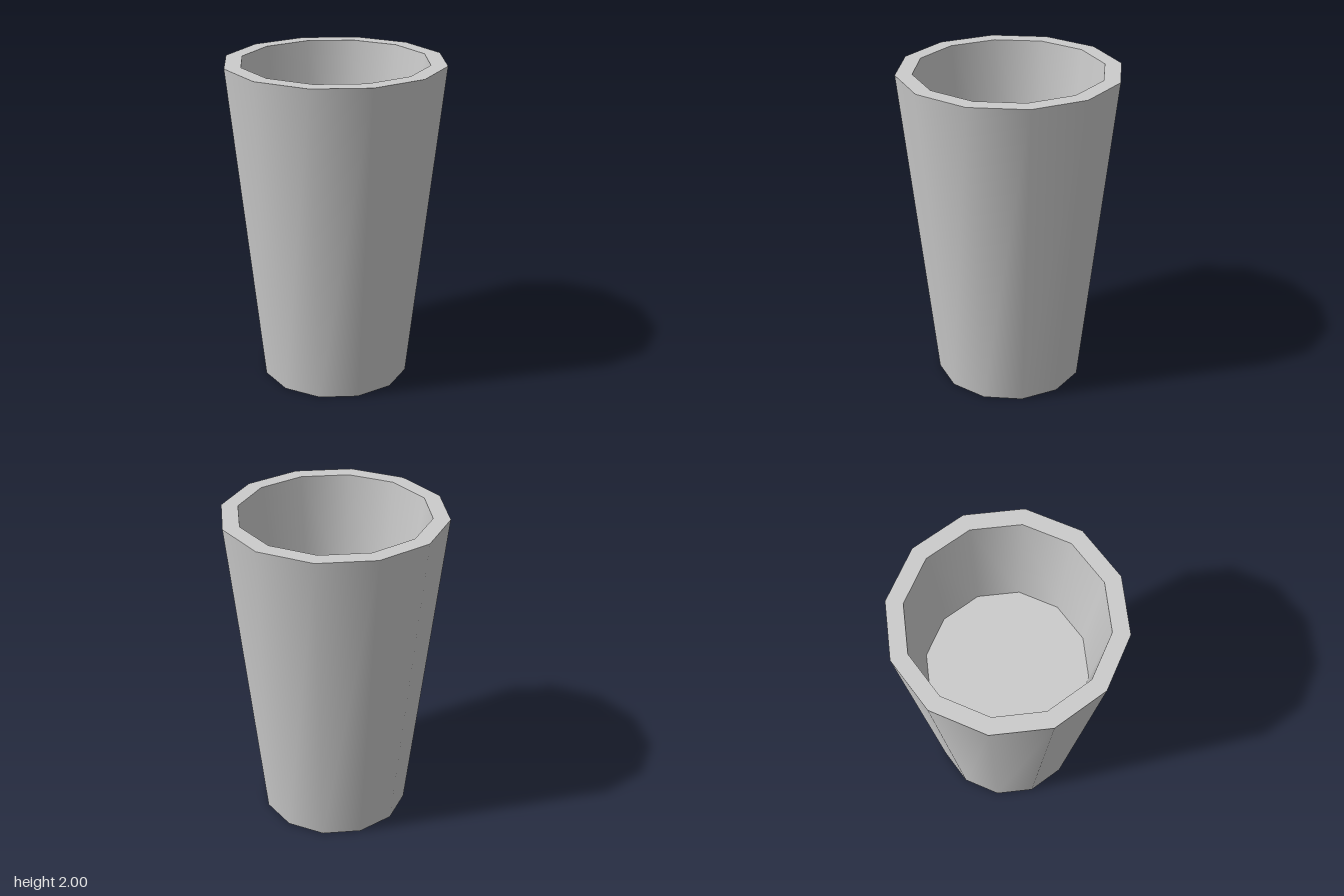
import * as THREE from 'three';

const SIDES = 12;
const HEIGHT = 2;
const TOP_R = 0.667;
const BASE_R = 0.46;
const RIM_R = 0.567; // opening
const FLOOR_R = 0.49;
const FLOOR_Y = 1.27; // inner wall runs parallel to the outer wall

export function createModel() {
  const group = new THREE.Group();
  group.name = 'cup';
  const material = new THREE.MeshStandardMaterial({ color: 0xcccccc });
  const inside = new THREE.MeshStandardMaterial({ color: 0xcccccc, side: THREE.BackSide });

  const add = (name, geometry, y, mat = material) => {
    const mesh = new THREE.Mesh(geometry, mat);
    mesh.name = name;
    mesh.position.y = y;
    group.add(mesh);
  };
  const wall = (top, bottom, height) =>
    new THREE.CylinderGeometry(top, bottom, height, SIDES, 1, true);
  const disc = (radius, tilt) => new THREE.CircleGeometry(radius, SIDES).rotateX(tilt);

  // Tapered outer shell and its base
  add('outerWall', wall(TOP_R, BASE_R, HEIGHT), HEIGHT / 2);
  add('base', disc(BASE_R, Math.PI / 2), 0);

  // Flat rim around the opening
  add('rim', new THREE.RingGeometry(RIM_R, TOP_R, SIDES).rotateX(-Math.PI / 2), HEIGHT);

  // Recess inside the cup
  add('innerWall', wall(RIM_R, FLOOR_R, HEIGHT - FLOOR_Y), (HEIGHT + FLOOR_Y) / 2, inside);
  add('innerFloor', disc(FLOOR_R, -Math.PI / 2), FLOOR_Y);

  return group;
}
